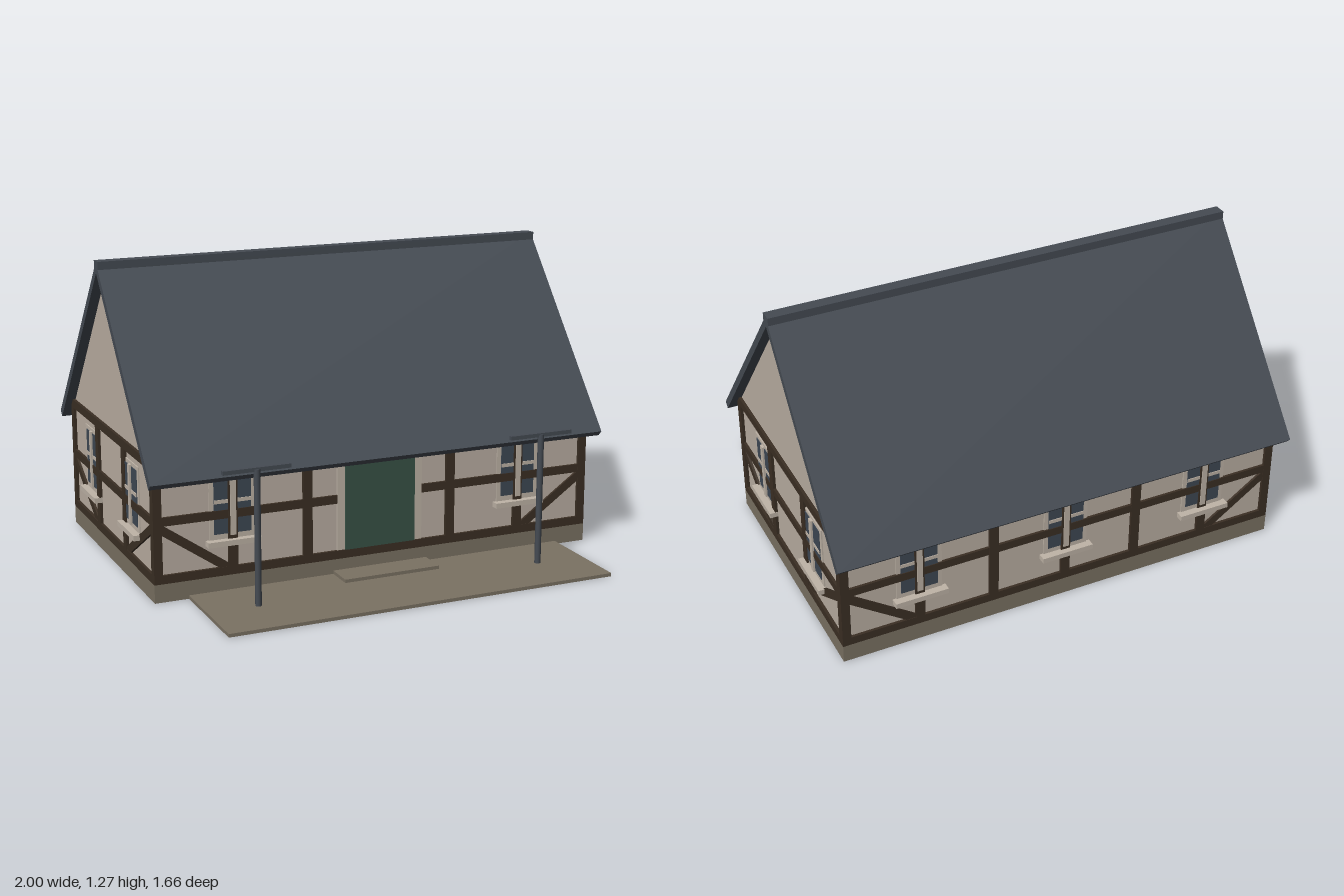
import * as THREE from 'three';

const mat = (name, color) => {
  const m = new THREE.MeshStandardMaterial({ color });
  m.name = name;
  return m;
};

export function createModel() {
  const plaster = mat('plaster', 0xbbafa3);
  const timber = mat('timber', 0x3b2f24);
  const stone = mat('stone', 0x7b7263);
  const slate = mat('slate', 0x454b53);
  const glass = mat('glass', 0x3e4854);
  const trim = mat('trim', 0xbfb4a7);
  const green = mat('doorGreen', 0x385246);

  const house = new THREE.Group();
  house.name = 'house';
  const midZ = -0.19;

  // Box given by its limits on each axis
  const box = (parent, name, material, x0, x1, y0, y1, z0, z1) => {
    const m = new THREE.Mesh(new THREE.BoxGeometry(x1 - x0, y1 - y0, z1 - z0), material);
    m.position.set((x0 + x1) / 2, (y0 + y1) / 2, (z0 + z1) / 2);
    m.name = name;
    parent.add(m);
    return m;
  };

  // Cross-section swept along x, centred on the ridge line
  const sweep = (name, material, points, length) => {
    const shape = new THREE.Shape(points.map(([u, y]) => new THREE.Vector2(u, y)));
    const g = new THREE.ExtrudeGeometry(shape, { depth: length, bevelEnabled: false });
    g.translate(0, 0, -length / 2).rotateY(Math.PI / 2);
    const m = new THREE.Mesh(g, material);
    m.position.z = midZ;
    m.name = name;
    house.add(m);
  };

  // Ground works
  box(house, 'plinth', stone, -0.97, 0.97, 0, 0.075, -0.76, 0.38);
  box(house, 'patio', stone, -0.83, 0.83, 0, 0.014, 0.38, 0.83);
  box(house, 'doorStep', stone, -0.21, 0.21, 0.014, 0.028, 0.38, 0.5);

  // Plastered body with gables, roof and ridge cap
  sweep('walls', plaster,
    [[-0.558, 0.07], [0.558, 0.07], [0.558, 0.55], [0, 1.22], [-0.558, 0.55]], 1.916);
  sweep('roof', slate,
    [[0.62, 0.479], [0.642, 0.501], [0, 1.264], [-0.642, 0.501], [-0.62, 0.479], [0, 1.219]], 2);
  box(house, 'ridgeCap', slate, -1, 1, 1.235, 1.268, midZ - 0.026, midZ + 0.026);

  // Window with glass, glazing bars and sill
  const addWindow = (wall, u) => {
    const w = new THREE.Group();
    w.name = 'window';
    w.position.x = u;
    box(w, 'windowFrame', trim, -0.097, 0.097, 0.225, 0.5, -0.03, -0.007);
    box(w, 'windowGlass', glass, -0.078, 0.078, 0.247, 0.483, -0.012, -0.004);
    box(w, 'uprightBar', trim, -0.012, 0.012, 0.24, 0.49, -0.012, 0.004);
    box(w, 'crossBar', trim, -0.078, 0.078, 0.373, 0.388, -0.012, -0.001);
    box(w, 'windowSill', trim, -0.112, 0.112, 0.203, 0.225, -0.03, 0.023);
    wall.add(w);
  };

  // Timber framing of one wall: local x runs along it, local z points outward
  const addWall = (name, half, studs, windows, braceEnd, x, z, turn, hasDoor) => {
    const wall = new THREE.Group();
    wall.name = name;
    wall.position.set(x, 0, z);
    wall.rotation.y = turn;
    box(wall, 'sillBeam', timber, -half, half, 0.075, 0.11, -0.03, 0);
    box(wall, 'topPlate', timber, -half, half, 0.533, 0.57, -0.03, 0);
    for (const s of [-1, 1]) {
      const c = s * (half - 0.018);
      box(wall, 'cornerPost', timber, c - 0.018, c + 0.018, 0.075, 0.57, -0.03, 0);
      // Diagonal brace from the corner post down to the sill beam
      const a = new THREE.Vector2(s * (half - 0.02), 0.305);
      const b = new THREE.Vector2(s * braceEnd, 0.1);
      const brace = new THREE.Mesh(
        new THREE.BoxGeometry(a.distanceTo(b), 0.035, 0.027), timber);
      brace.position.set((a.x + b.x) / 2, (a.y + b.y) / 2, -0.0155);
      brace.rotation.z = Math.atan2(a.y - b.y, a.x - b.x);
      brace.name = 'brace';
      wall.add(brace);
    }
    for (const u of studs)
      box(wall, 'stud', timber, u - 0.02, u + 0.02, 0.1, 0.54, -0.03, 0);
    const rails = hasDoor ? [[-half, -0.19], [0.19, half]] : [[-half, half]];
    for (const [r0, r1] of rails)
      box(wall, 'midRail', timber, r0, r1, 0.31, 0.345, -0.03, -0.001);
    for (const u of windows) addWindow(wall, u);
    if (hasDoor) {
      box(wall, 'doorFrame', trim, -0.19, 0.19, 0.11, 0.52, -0.03, -0.005);
      box(wall, 'door', green, -0.155, 0.155, 0.11, 0.5, -0.03, 0.002);
    }
    house.add(wall);
  };

  const third = [-0.185, 0.185], gableWindows = [-0.275, 0.275];
  addWall('frontWall', 0.97, [-0.64, -0.32, 0.32, 0.64], [-0.64, 0.64], 0.655, 0, 0.38, 0, true);
  addWall('backWall', 0.97, [-0.64, -0.32, 0, 0.32, 0.64], [-0.64, 0, 0.64], 0.655,
    0, -0.76, Math.PI, false);
  addWall('leftWall', 0.57, third, gableWindows, 0.2, 0.97, midZ, Math.PI / 2, false);
  addWall('rightWall', 0.57, third, gableWindows, 0.2, -0.97, midZ, -Math.PI / 2, false);

  // Free-standing patio posts with a crossbar
  for (const s of [-1, 1]) {
    const post = new THREE.Mesh(new THREE.CylinderGeometry(0.013, 0.013, 0.555, 12), slate);
    post.position.set(s * 0.62, 0.2875, 0.595);
    post.name = 'patioPost';
    house.add(post);
    box(house, 'patioCrossbar', slate, s * 0.62 - 0.14, s * 0.62 + 0.14, 0.555, 0.571, 0.583, 0.601);
  }

  return house;
}
